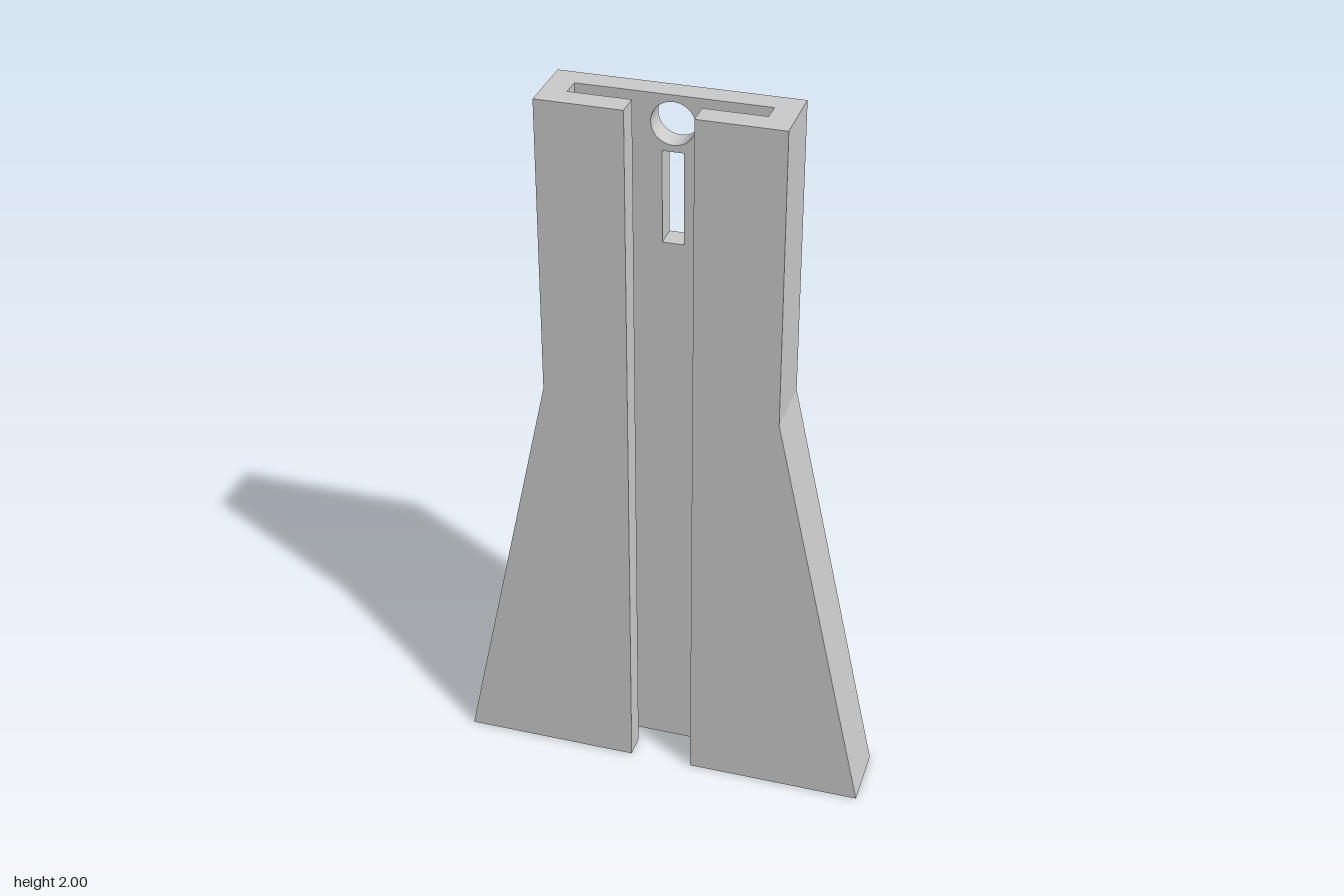
import * as THREE from 'three';

const HEIGHT = 2, BEND = 1.19;          // flare ends at BEND
const TOP = 0.315, BOTTOM = 0.57;       // outer half widths
const WALL = 0.065, GAP = 0.087;        // side wall thickness, half width of front opening
const Z = [-0.092, -0.028, 0.025, 0.09]; // back plate | channel | front lips

const material = new THREE.MeshStandardMaterial({ color: 0xcccccc, flatShading: true });

function polygon(points) {
  return new THREE.Shape(points.map(([x, y]) => new THREE.Vector2(x, y)));
}

function layer(name, shape, z0, z1) {
  const geometry = new THREE.ExtrudeGeometry(shape, { depth: z1 - z0, bevelEnabled: false, curveSegments: 24 });
  geometry.translate(0, 0, z0);
  const mesh = new THREE.Mesh(geometry, material);
  mesh.name = name;
  return mesh;
}

// Half of the flared outline; side = 1 or -1, with its inner edge given bottom to top
function halfOutline(side, inner) {
  return polygon([[BOTTOM, 0], [TOP, BEND], [TOP, HEIGHT], ...inner].map(([x, y]) => [x * side, y]));
}

export function createModel() {
  const group = new THREE.Group();
  group.name = 'flaredBracket';

  // Back plate with hanging hole and slot
  const back = polygon([
    [-BOTTOM, 0], [BOTTOM, 0], [TOP, BEND], [TOP, HEIGHT], [-TOP, HEIGHT], [-TOP, BEND],
  ]);
  const hole = new THREE.Path();
  hole.absarc(0, 1.925, 0.057, 0, Math.PI * 2, true);
  const slot = new THREE.Path([[-0.028, 1.6], [-0.028, 1.85], [0.028, 1.85], [0.028, 1.6]]
    .map(([x, y]) => new THREE.Vector2(x, y)));
  back.holes.push(hole, slot);
  group.add(layer('backPlate', back, Z[0], Z[1]));

  for (const [side, label] of [[1, 'left'], [-1, 'right']]) {
    // Side wall closing the channel
    const wall = halfOutline(side, [[TOP - WALL, HEIGHT], [TOP - WALL, BEND], [BOTTOM - WALL, 0]]);
    group.add(layer(label + 'SideWall', wall, Z[1], Z[2]));
    // Front lip beside the central opening
    const lip = halfOutline(side, [[GAP, HEIGHT], [GAP, 0]]);
    group.add(layer(label + 'FrontLip', lip, Z[2], Z[3]));
  }
  return group;
}
